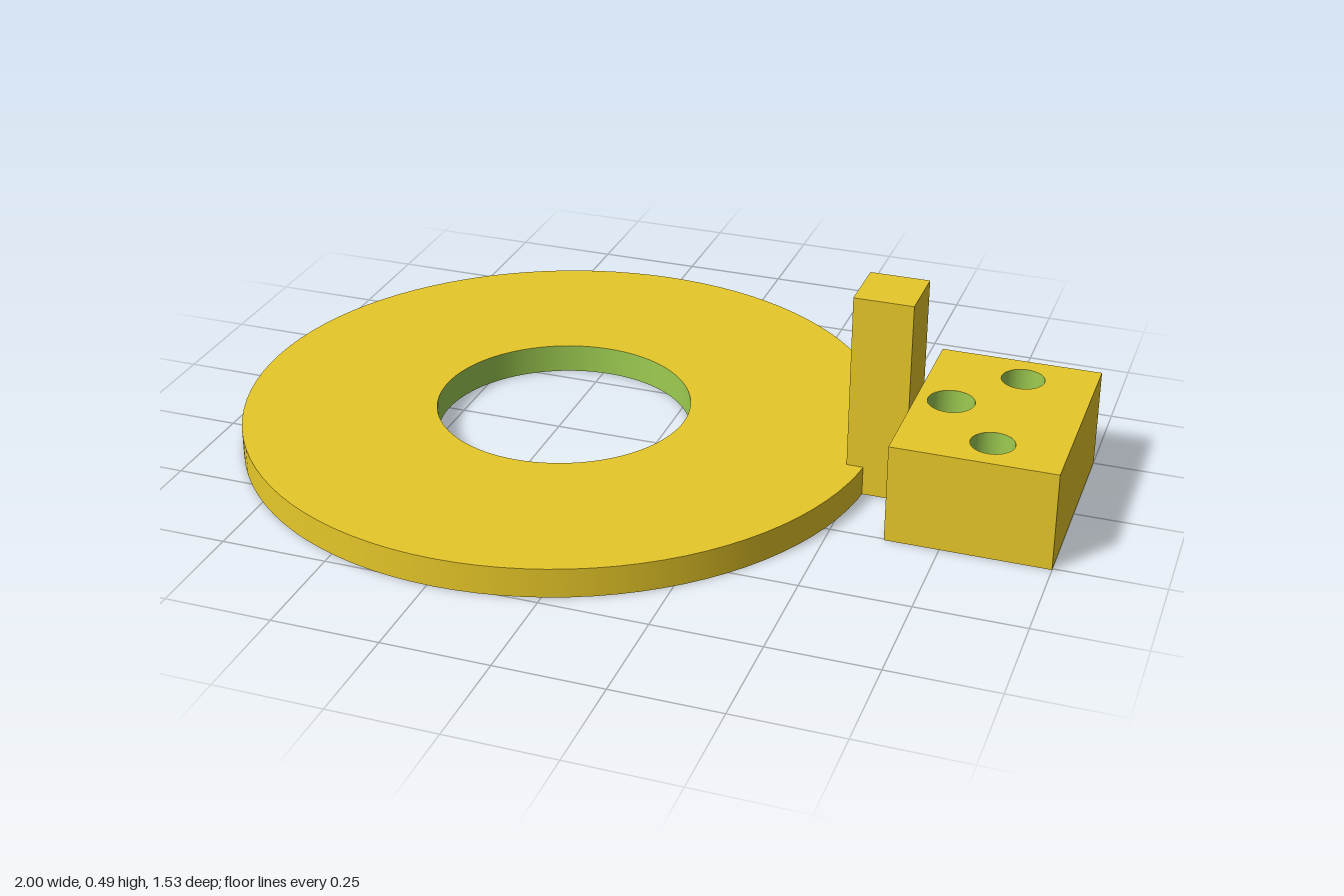
import * as THREE from 'three';

const gold = new THREE.MeshStandardMaterial({ color: 0xf9d72c });
gold.name = 'gold';
const green = new THREE.MeshStandardMaterial({ color: 0x9dcb51 });
green.name = 'bore green';

const V = (x, y, z) => new THREE.Vector3(x, y, z);
// Outward axes of the six box sides: [horizontal, vertical, normal]
const SIDES = {
  front: [V(1, 0, 0), V(0, 1, 0), V(0, 0, 1)],
  back: [V(-1, 0, 0), V(0, 1, 0), V(0, 0, -1)],
  plusX: [V(0, 0, -1), V(0, 1, 0), V(1, 0, 0)],
  minusX: [V(0, 0, 1), V(0, 1, 0), V(-1, 0, 0)],
  top: [V(1, 0, 0), V(0, 0, -1), V(0, 1, 0)],
  bottom: [V(1, 0, 0), V(0, 0, 1), V(0, -1, 0)],
};

// Box made of flat panels; holes maps a side to a list of [center, radius]
function drilledBox(name, min, max, holes) {
  const group = new THREE.Group();
  group.name = name;
  const mid = min.clone().add(max).multiplyScalar(0.5);
  const half = max.clone().sub(min).multiplyScalar(0.5);
  for (const [side, [u, v, n]] of Object.entries(SIDES)) {
    const a = Math.abs(half.dot(u)), b = Math.abs(half.dot(v)), c = Math.abs(half.dot(n));
    const shape = new THREE.Shape([[-a, -b], [a, -b], [a, b], [-a, b]].map(p => new THREE.Vector2(...p)));
    for (const [center, r] of holes[side] || []) {
      const d = center.clone().sub(mid);
      shape.holes.push(new THREE.Path().absarc(d.dot(u), d.dot(v), r, 0, Math.PI * 2, true));
    }
    const geo = new THREE.ShapeGeometry(shape, 32);
    geo.applyMatrix4(new THREE.Matrix4().makeBasis(u, v, n).setPosition(mid.clone().addScaledVector(n, c)));
    const mesh = new THREE.Mesh(geo, gold);
    mesh.name = `${name} ${side}`;
    group.add(mesh);
  }
  return group;
}

// Inward-facing tube wall from y = 0 to y = h; mitre bends the y = 0 rim
function bore(r, h, segments, mitre) {
  const geo = new THREE.LatheGeometry([new THREE.Vector2(r, h), new THREE.Vector2(r, 0)], segments);
  const p = geo.attributes.position;
  if (mitre) for (let i = 0; i < p.count; i++) if (p.getY(i) === 0) p.setY(i, Math.max(0, mitre * p.getX(i)));
  return geo;
}

export function createModel() {
  const model = new THREE.Group();
  const add = (name, geo, mat, x, y, z, parent = model) => {
    const mesh = new THREE.Mesh(geo, mat);
    mesh.name = name;
    mesh.position.set(x, y, z);
    parent.add(mesh);
  };

  // Flat washer-shaped disc
  const R = 0.765, r = 0.304, T = 0.07, cx = -0.235;
  const disc = new THREE.Group();
  disc.name = 'disc';
  model.add(disc);
  add('disc rim', new THREE.CylinderGeometry(R, R, T, 96, 1, true), gold, cx, T / 2, 0, disc);
  add('disc top', new THREE.RingGeometry(r, R, 96).rotateX(-Math.PI / 2), gold, cx, T, 0, disc);
  add('disc underside', new THREE.RingGeometry(r, R, 96).rotateX(Math.PI / 2), gold, cx, 0, 0, disc);
  add('disc hole wall', bore(r, T, 96), green, cx, 0, 0, disc);

  // Post and block, drilled for an elbow channel and two screw holes
  const x0 = 0.487, x1 = 0.625, H = 0.235;
  const er = 0.054, ex = 0.705, ey = 0.147;
  const sr = 0.05, sx = 0.835, sz = 0.163, sy = 0.13;
  const channel = [[V(x0, ey, 0), er]];
  model.add(drilledBox('post', V(x0, 0, -0.073), V(x1, 0.49, 0.073), { minusX: channel, plusX: channel }));
  model.add(drilledBox('block', V(x1, 0, -0.255), V(1, H, 0.255), {
    minusX: channel,
    top: [[V(ex, H, 0), er], [V(sx, H, sz), sr], [V(sx, H, -sz), sr]],
  }));

  // Blind screw holes
  for (const s of [-1, 1]) {
    add('screw hole wall', bore(sr, H - sy, 32), green, sx, sy, s * sz);
    add('screw hole floor', new THREE.CircleGeometry(sr, 32).rotateX(-Math.PI / 2), green, sx, sy, s * sz);
  }

  // Elbow channel: a vertical bore meeting a horizontal one
  const q = Math.PI / 2;
  add('vertical channel', bore(er, H - ey, 32, -1), green, ex, ey, 0);
  add('horizontal channel', bore(er, ex - x0, 32, 1).rotateZ(q), green, ex, ey, 0);
  add('vertical channel floor', new THREE.CircleGeometry(er, 16, -q, Math.PI).rotateX(-q), green, ex, ey, 0);
  add('horizontal channel end', new THREE.CircleGeometry(er, 16, Math.PI, Math.PI).rotateY(-q), green, ex, ey, 0);

  return model;
}
